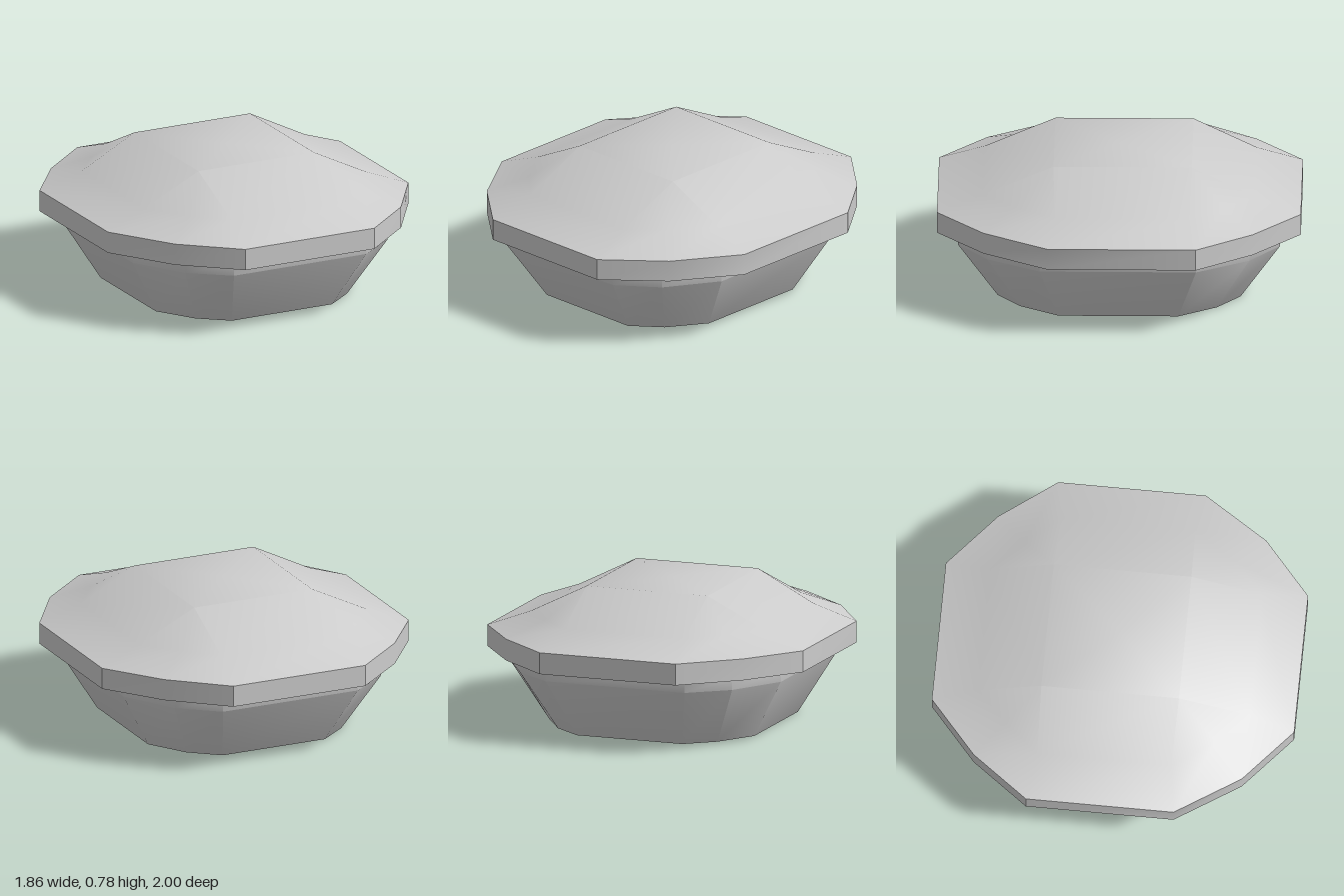
import * as THREE from 'three';
import { toCreasedNormals } from 'three/addons/utils/BufferGeometryUtils.js';

// Twelve-sided outline, counter-clockwise from above:
// side edge at x = X, cut corner through (mx, mz), end edge at z = Z
function ring(y, X, zBack, zFront, mx, mz, xo, Z, dz = 0) {
  return [
    [X, -zBack], [mx, -mz], [xo, -Z], [-xo, -Z], [-mx, -mz], [-X, -zBack],
    [-X, zFront], [-mx, mz], [-xo, Z], [xo, Z], [mx, mz], [X, zFront],
  ].map(([x, z]) => new THREE.Vector3(x, y, z + dz));
}

// Skins a stack of rings from bottom to top and closes both ends
function loft(rings, name, crease) {
  const pos = [];
  const tri = (a, b, c) => {
    const area = b.clone().sub(a).cross(c.clone().sub(a)).length();
    if (area > 1e-6) for (const p of [a, b, c]) pos.push(p.x, p.y, p.z);
  };
  const n = rings[0].length;
  for (let r = 0; r < rings.length - 1; r++) {
    const lo = rings[r], hi = rings[r + 1];
    for (let i = 0; i < n; i++) {
      const j = (i + 1) % n;
      tri(lo[i], lo[j], hi[j]);
      tri(lo[i], hi[j], hi[i]);
    }
  }
  const first = rings[0], last = rings[rings.length - 1];
  const bottom = new THREE.Vector3(0, first[0].y, 0);
  const top = new THREE.Vector3(0, last[0].y, 0);
  for (let i = 0; i < n; i++) {
    const j = (i + 1) % n;
    tri(bottom, first[j], first[i]);
    tri(top, last[i], last[j]);
  }
  const geometry = new THREE.BufferGeometry();
  geometry.setAttribute('position', new THREE.Float32BufferAttribute(pos, 3));
  const mesh = new THREE.Mesh(
    toCreasedNormals(geometry, crease),
    new THREE.MeshStandardMaterial({ color: 0xcccccc })
  );
  mesh.name = name;
  return mesh;
}

export function createModel() {
  const group = new THREE.Group();
  group.name = 'lidded bowl';

  // Tapered bowl with a short upright neck
  group.add(loft([
    ring(0, 0.605, 0.33, 0.33, 0.47, 0.54, 0.31, 0.667),
    ring(0.34, 0.8, 0.43, 0.43, 0.625, 0.72, 0.41, 0.885),
    ring(0.405, 0.8, 0.43, 0.43, 0.625, 0.72, 0.41, 0.885),
  ], 'bowl', 0.68));

  // Lid: upright rim, shallow shoulder, steeper crown and flat rectangular top
  group.add(loft([
    ring(0.405, 0.93, 0.43, 0.385, 0.7, 0.74, 0.4, 1),
    ring(0.525, 0.93, 0.43, 0.385, 0.7, 0.74, 0.4, 1),
    ring(0.613, 0.69, 0.39, 0.35, 0.53, 0.58, 0.355, 0.75),
    ring(0.782, 0.357, 0.38, 0.38, 0.357, 0.38, 0.357, 0.38, -0.02),
  ], 'lid', 0.6));

  return group;
}
